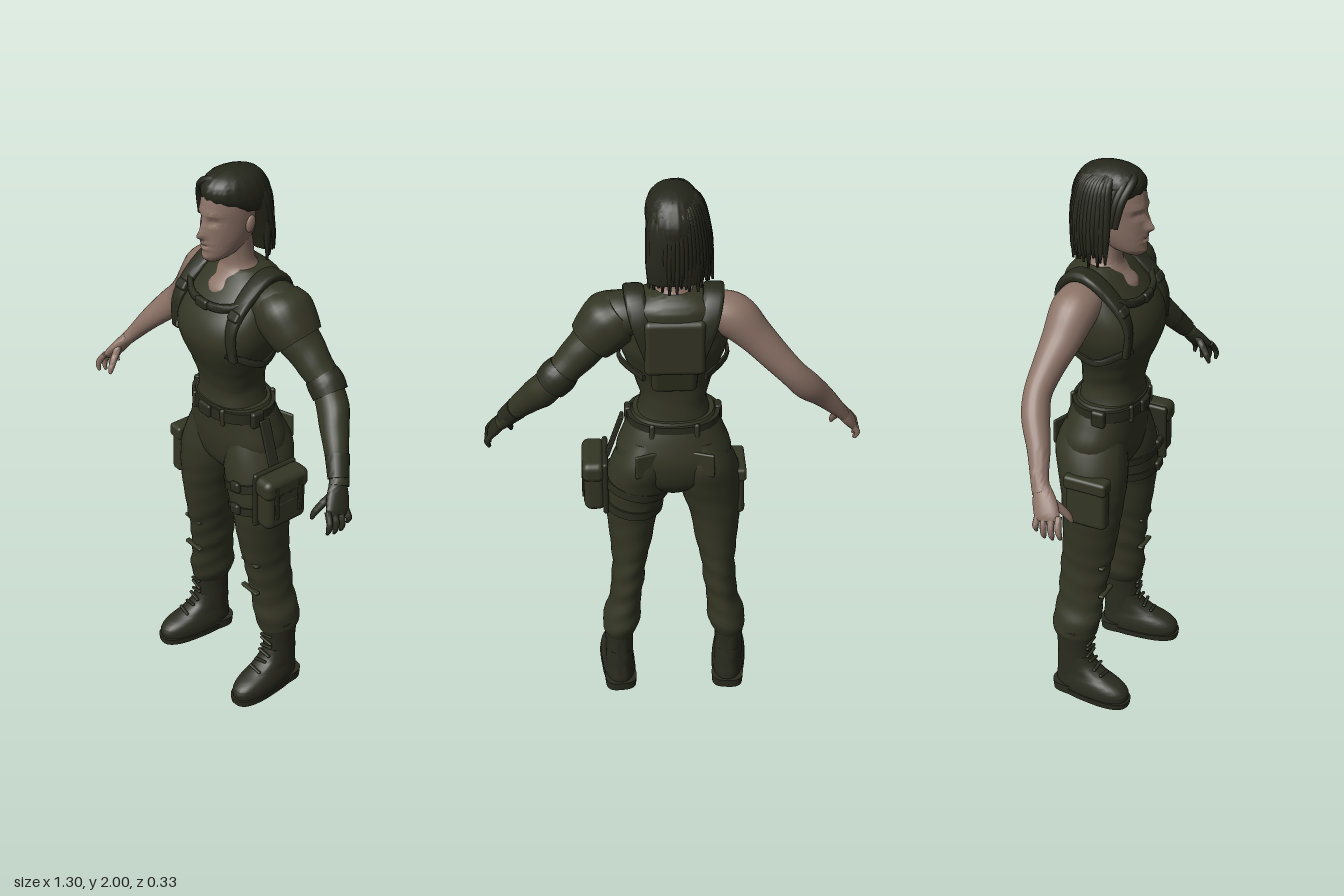
import * as THREE from 'three';
import { toCreasedNormals } from 'three/addons/utils/BufferGeometryUtils.js';
import { RoundedBoxGeometry } from 'three/addons/geometries/RoundedBoxGeometry.js';

const mat = (name, color) => Object.assign(new THREE.MeshStandardMaterial({ color }), { name });
const X = new THREE.Vector3(1, 0, 0), Y = new THREE.Vector3(0, 1, 0), Z = new THREE.Vector3(0, 0, 1);
const spline = (a, b, c, d, t) => b + 0.5 * t * (c - a + t * (2 * a - 5 * b + 4 * c - d + t * (3 * (b - c) + d - a)));

// Smooth body through elliptical sections [x, y, z, halfWidth, halfDepth].
// Level sections lie flat (listed bottom to top); otherwise they follow the path.
function loft(rows, { n = 24, steps = 5, p = 2, level = false, ref = Z, fold, warp, crease = 0.9 } = {}) {
  const s = [], last = rows.length - 1;
  for (let i = 0; i < last; i++) for (let k = 0; k < steps; k++) {
    const q = [Math.max(i - 1, 0), i, i + 1, Math.min(i + 2, last)].map(j => rows[j]);
    s.push(rows[0].map((_, c) => spline(q[0][c], q[1][c], q[2][c], q[3][c], k / steps)));
  }
  s.push(rows[last]);
  const c = s.map(r => new THREE.Vector3(r[0], r[1], r[2])), pos = [], idx = [];
  const pw = v => Math.sign(v) * Math.abs(v) ** (2 / p);
  s.forEach((r, i) => {
    const t = level ? Y : c[Math.min(i + 1, c.length - 1)].clone().sub(c[Math.max(i - 1, 0)]).normalize();
    const v = ref.clone().addScaledVector(t, -ref.dot(t)).normalize(), u = t.clone().cross(v);
    for (let j = 0; j < n; j++) {
      const a = j / n * Math.PI * 2, f = fold ? fold(a, r[1]) : 1;
      const w = c[i].clone().addScaledVector(u, pw(Math.cos(a)) * Math.max(r[3], 0.001) * f)
        .addScaledVector(v, pw(Math.sin(a)) * Math.max(r[4], 0.001) * f);
      if (warp) warp(w);
      pos.push(w.x, w.y, w.z);
      if (i < s.length - 1) {
        const A = i * n + j, B = i * n + (j + 1) % n;
        idx.push(A, A + n, B, B, A + n, B + n);
      }
    }
  });
  const m = s.length * n, e = m - n;
  pos.push(...c[0].toArray(), ...c[c.length - 1].toArray());
  for (let j = 0; j < n; j++) {
    const k = (j + 1) % n;
    idx.push(m, j, k, m + 1, e + k, e + j);
  }
  const g = new THREE.BufferGeometry();
  g.setAttribute('position', new THREE.Float32BufferAttribute(pos, 3));
  g.setIndex(idx);
  return toCreasedNormals(g, crease);
}

export function createModel() {
  const root = new THREE.Group();
  const cloth = mat('olive cloth', 0x333524), gear = mat('dark webbing', 0x292b1e),
    leather = mat('boot leather', 0x2a2b1f), hairMat = mat('dark hair', 0x25261b), skin = mat('skin', 0x8b7266);
  const add = (name, geo, m, parent = root) => {
    const o = new THREE.Mesh(geo, m);
    o.name = name;
    parent.add(o);
    return o;
  };
  const box = (name, m, x, y, z, w, h, d, r = 0.01) => {
    const o = add(name, new RoundedBoxGeometry(w, h, d, 3, Math.min(r, w / 2.1, h / 2.1, d / 2.1)), m);
    o.position.set(x, y, z);
    return o;
  };
  const band = (name, m, x, y, z, a, b, h, p = 2) => {
    const o = add(name, loft([[0, -h / 2, 0, a, b], [0, h / 2, 0, a, b]], { level: true, steps: 1, n: 32, p }), m);
    o.position.set(x, y, z);
    return o;
  };
  const level = (name, m, rows, opt = {}) => add(name, loft(rows.map(r => [0, ...r]), { level: true, n: 32, ...opt }), m);

  // Torso, pelvis and neck
  level('tankTop', cloth, [[1.13, 0, 0.138, 0.11], [1.22, 0, 0.112, 0.1], [1.30, 0.01, 0.13, 0.108],
    [1.38, 0.015, 0.162, 0.135], [1.44, 0.01, 0.18, 0.152], [1.50, 0, 0.182, 0.146], [1.56, -0.025, 0.172, 0.128],
    [1.62, -0.048, 0.145, 0.1], [1.655, -0.05, 0.085, 0.065]],
  { p: 2.4, fold: (a, y) => 1 + 0.008 * Math.sin(y * 90 + 2 * Math.sin(a * 2)) * (y < 1.36) });
  level('trouserSeat', cloth, [[0.87, -0.03, 0.06, 0.06], [0.93, -0.03, 0.16, 0.11], [1.02, -0.03, 0.197, 0.128],
    [1.10, -0.02, 0.172, 0.122], [1.175, -0.003, 0.138, 0.112]], { p: 2.2 });
  level('neck', skin, [[1.575, 0.005, 0.06, 0.082], [1.60, -0.008, 0.085, 0.084], [1.635, -0.03, 0.08, 0.072],
    [1.675, -0.027, 0.052, 0.055], [1.77, -0.015, 0.05, 0.055]]);

  // Head, with nose, brow, eye sockets and mouth pushed in or out of the face
  const bump = (p, x, y, sx, sy) => Math.exp(-(((p.x - x) / sx) ** 2) - ((p.y - y) / sy) ** 2);
  level('head', skin, [[1.70, 0.07, 0.022, 0.03], [1.722, 0.048, 0.046, 0.064], [1.77, 0.02, 0.064, 0.095],
    [1.83, 0, 0.074, 0.115], [1.89, -0.005, 0.078, 0.118], [1.94, -0.005, 0.072, 0.104], [1.975, -0.005, 0.05, 0.07]], {
    n: 64, steps: 9, crease: 1.5, warp: p => {
      if (p.z < 0.05) return;
      p.z += 0.024 * bump(p, 0, 1.797, 0.012, 0.016) + 0.013 * bump(p, 0, 1.825, 0.009, 0.026)
        + 0.007 * bump(p, 0, 1.767, 0.024, 0.006) + 0.007 * bump(p, 0, 1.75, 0.02, 0.006)
        - 0.006 * bump(p, 0, 1.759, 0.024, 0.003) + 0.007 * bump(p, 0, 1.715, 0.02, 0.014);
      for (const s of [-1, 1]) p.z += 0.005 * bump(p, s * 0.03, 1.872, 0.026, 0.009) - 0.01 * bump(p, s * 0.032, 1.847, 0.018, 0.012);
    } });
  for (const s of [-1, 1]) {
    const ear = add('ear', new THREE.SphereGeometry(1, 16, 12), skin);
    ear.scale.set(0.01, 0.03, 0.018);
    ear.position.set(s * 0.076, 1.825, -0.015);
    ear.rotation.x = -0.2;
  }

  // Hair: cap, rear mass and hanging locks swept to the right side
  level('hairCap', hairMat, [[1.87, -0.045, 0.085, 0.095], [1.91, -0.018, 0.089, 0.12], [1.95, -0.005, 0.083, 0.112],
    [1.98, -0.005, 0.062, 0.085], [1.998, -0.005, 0.025, 0.04]], { n: 72, fold: a => 1 + 0.012 * Math.sin(a * 18) });
  level('hairBack', hairMat, [[1.71, -0.1, 0.085, 0.035], [1.78, -0.09, 0.09, 0.05], [1.90, -0.06, 0.086, 0.075],
    [1.95, -0.04, 0.06, 0.07]], { n: 72, fold: a => 1 + 0.02 * Math.sin(a * 20) });
  for (let i = 0; i < 26; i++) {
    const f = -1.9 + i * 0.115, sx = Math.sin(f) * (f > 0 ? 0.86 : 1.04), cz = -Math.cos(f);
    const end = 1.695 + 0.018 * Math.sin(i * 2.7);
    add('hairLock', loft([[sx * 0.03, 1.985, 0.01 + cz * 0.035, 0.008, 0.01], [sx * 0.077, 1.95, -0.01 + cz * 0.088, 0.014, 0.014],
      [sx * 0.098, 1.88, -0.015 + cz * 0.11, 0.015, 0.015], [sx * 0.11, 1.79, -0.015 + cz * 0.117, 0.014, 0.014],
      [sx * (0.115 + 0.007 * Math.sin(i * 1.9)), end, -0.015 + cz * 0.117, 0.004, 0.004]], { n: 8, steps: 4 }), hairMat);
  }
  for (let i = 0; i < 6; i++) {
    add('fringeLock', loft([[0.035 - i * 0.008, 1.975, 0.05 - i * 0.016, 0.01, 0.012], [-0.035 - i * 0.004, 1.962, 0.082 - i * 0.022, 0.014, 0.015],
      [-0.082, 1.905, 0.065 - i * 0.018, 0.012, 0.014], [-0.098, 1.82, 0.05 - i * 0.015, 0.009, 0.01]], { n: 8 }), hairMat);
  }

  // Arms: bare on the right, sleeved and padded on the left
  const armRows = [[0.13, 1.575, -0.045, 0.06, 0.075], [0.195, 1.55, -0.05, 0.074, 0.078], [0.265, 1.48, -0.06, 0.06, 0.066],
    [0.33, 1.41, -0.075, 0.052, 0.053], [0.39, 1.345, -0.082, 0.047, 0.046], [0.44, 1.285, -0.065, 0.049, 0.046],
    [0.50, 1.215, -0.025, 0.038, 0.038], [0.555, 1.145, 0.005, 0.027, 0.03], [0.58, 1.11, 0.025, 0.022, 0.032]];
  for (const s of [-1, 1]) {
    const bare = s < 0, k = bare ? 1 : 1.13, flip = r => r.map(([x, ...q]) => [s * x, ...q]);
    const limb = armRows.map(([x, y, z, a, b]) => [x, y, z, a * k, b * k]);
    add(bare ? 'rightArm' : 'leftSleeve', loft(flip(limb), {
      fold: bare ? undefined : (a, y) => 1 + 0.018 * Math.sin(y * 85 + 2 * Math.sin(a)) }), bare ? skin : cloth);
    const m = bare ? skin : gear, hand = new THREE.Group();
    hand.name = bare ? 'rightHand' : 'leftGlove';
    root.add(hand);
    add('palm', loft(flip([[0.57, 1.125, 0.02, 0.021, 0.028], [0.592, 1.09, 0.04, 0.021, 0.04],
      [0.615, 1.055, 0.06, 0.018, 0.043], [0.625, 1.04, 0.065, 0.012, 0.038]])), m, hand);
    for (let i = 0; i < 4; i++) {
      const l = i === 0 ? 0.018 : i === 3 ? 0.008 : 0, z = 0.03 + 0.023 * i;
      add('finger', loft(flip([[0.612, 1.06, z, 0.011, 0.011], [0.634, 1.028, z + 0.003 * i, 0.011, 0.011],
        [0.637, 1.0 + l, z + 0.005 * i, 0.0095, 0.0095], [0.63, 0.981 + l, z + 0.005 * i, 0.005, 0.005]]), { n: 10 }), m, hand);
    }
    add('thumb', loft(flip([[0.585, 1.095, 0.055, 0.014, 0.014], [0.57, 1.06, 0.088, 0.013, 0.013],
      [0.56, 1.03, 0.11, 0.011, 0.011], [0.557, 1.01, 0.118, 0.005, 0.005]]), { n: 10 }), m, hand);
  }
  add('shoulderPad', loft([[0.165, 1.59, -0.05, 0.06, 0.08], [0.2, 1.555, -0.05, 0.092, 0.096],
    [0.245, 1.505, -0.055, 0.086, 0.09], [0.272, 1.475, -0.06, 0.076, 0.08]], { p: 2.3 }), cloth);
  add('elbowPad', loft([[0.36, 1.378, -0.08, 0.058, 0.058], [0.38, 1.356, -0.083, 0.064, 0.062],
    [0.405, 1.327, -0.082, 0.06, 0.06]]), gear);
  add('gloveCuff', loft([[0.525, 1.185, -0.012, 0.039, 0.041], [0.568, 1.128, 0.018, 0.032, 0.036]]), gear);

  // Harness: shoulder straps, chest strap, buckles and back plate
  for (const s of [-1, 1]) {
    add('shoulderStrap', loft([[s * 0.15, 1.40, 0.115, 0.01, 0.018], [s * 0.142, 1.50, 0.118, 0.01, 0.022], [s * 0.135, 1.58, 0.068, 0.014, 0.03],
      [s * 0.13, 1.645, -0.02, 0.016, 0.034], [s * 0.125, 1.64, -0.09, 0.016, 0.034], [s * 0.11, 1.57, -0.138, 0.012, 0.03],
      [s * 0.075, 1.45, -0.143, 0.01, 0.025]], { ref: X, p: 4, n: 20 }), gear);
    box('strapBuckle', gear, s * 0.137, 1.555, 0.1, 0.05, 0.035, 0.02).rotation.x = -0.6;
    add('sideStrap', loft([[s * 0.13, 1.42, 0.128, 0.006, 0.012], [s * 0.182, 1.37, 0.02, 0.006, 0.012],
      [s * 0.1, 1.36, -0.118, 0.006, 0.012]], { ref: Y, p: 4, n: 12 }), gear);
  }
  add('chestStrap', loft([[-0.14, 1.58, 0.065, 0.01, 0.014], [-0.075, 1.56, 0.107, 0.01, 0.014], [0, 1.553, 0.117, 0.01, 0.014],
    [0.075, 1.56, 0.107, 0.01, 0.014], [0.14, 1.58, 0.065, 0.01, 0.014]], { ref: Y, p: 4, n: 16 }), gear);
  box('chestBuckle', gear, 0, 1.555, 0.122, 0.06, 0.035, 0.022);
  box('backPlate', cloth, 0, 1.49, -0.137, 0.2, 0.2, 0.05, 0.02);
  box('lowerBackPlate', cloth, 0, 1.36, -0.104, 0.15, 0.13, 0.045, 0.02).rotation.x = -0.25;

  // Belt with buckle, loops and small pouches
  band('belt', gear, 0, 1.145, -0.007, 0.158, 0.122, 0.04, 2.2);
  box('beltBuckle', gear, 0, 1.145, 0.115, 0.06, 0.046, 0.016);
  for (const s of [-1, 1]) {
    box('beltLoop', cloth, s * 0.075, 1.14, 0.1, 0.018, 0.065, 0.016).rotation.y = s * 0.3;
    box('beltLoop', cloth, s * 0.075, 1.14, -0.117, 0.018, 0.065, 0.016);
    box('beltClip', gear, s * 0.153, 1.14, 0.015, 0.025, 0.06, 0.05);
    box('rearPocket', cloth, s * 0.09, 1.03, -0.148, 0.09, 0.09, 0.012).rotation.y = s * 0.32;
  }

  // Trouser legs and boots
  const legRows = [[0.197, 0.24, -0.06, 0.05, 0.07], [0.194, 0.265, -0.06, 0.063, 0.08], [0.188, 0.31, -0.056, 0.067, 0.088],
    [0.174, 0.39, -0.047, 0.056, 0.085], [0.165, 0.46, -0.041, 0.059, 0.088], [0.158, 0.54, -0.033, 0.06, 0.092],
    [0.15, 0.64, -0.022, 0.075, 0.098], [0.146, 0.74, -0.015, 0.088, 0.105], [0.132, 0.84, -0.015, 0.106, 0.114],
    [0.118, 0.92, -0.023, 0.114, 0.123], [0.105, 1.0, -0.035, 0.1, 0.125], [0.085, 1.09, -0.03, 0.075, 0.1]];
  for (const s of [-1, 1]) {
    add('trouserLeg', loft(legRows.map(([x, ...q]) => [s * x, ...q]), { level: true, n: 32, steps: 8, fold: (a, y) =>
      1 + (y < 0.6 ? 0.025 : 0.007) * Math.sin(y * 75 + 2.5 * Math.sin(a + s)) * Math.min(1, Math.max(0, (1 - y) * 5)) }), cloth);
    for (const y of [0.44, 0.56]) box('kneeSeam', cloth, s * 0.163, y, 0.046, 0.085, 0.012, 0.02, 0.005);
    const boot = new THREE.Group();
    boot.name = 'boot';
    root.add(boot);
    boot.position.set(s * 0.2, 0, -0.06);
    boot.rotation.y = s * 0.1;
    const part = (name, rows, p) => add(name, loft(rows.map(r => [0, ...r]), { level: true, n: 32, p }), leather, boot);
    part('bootShaft', [[0.05, 0, 0.05, 0.07], [0.12, 0, 0.05, 0.066], [0.2, 0, 0.05, 0.066], [0.285, 0, 0.057, 0.072]], 2);
    part('bootFoot', [[0.018, 0.074, 0.058, 0.142], [0.05, 0.074, 0.06, 0.144], [0.075, 0.062, 0.056, 0.13],
      [0.098, 0.036, 0.05, 0.102], [0.13, 0.01, 0.048, 0.076], [0.17, 0, 0.046, 0.064]], 2.4);
    part('bootSole', [[0, 0.076, 0.059, 0.146], [0.024, 0.076, 0.062, 0.149]], 2.6);
    part('bootHeel', [[0, -0.02, 0.056, 0.054], [0.035, -0.02, 0.058, 0.058]], 3);
    for (let i = 0; i < 6; i++) {
      const lace = add('bootLace', new RoundedBoxGeometry(0.055, 0.009, 0.012, 2, 0.004), gear, boot);
      lace.position.set(0, 0.108 + i * 0.025, [0.122, 0.095, 0.077, 0.067, 0.067, 0.068][i]);
      lace.rotation.z = i % 2 ? 0.2 : -0.2;
    }
  }

  // Cargo pocket on the right thigh
  box('cargoPocket', cloth, -0.219, 0.845, 0.005, 0.05, 0.18, 0.15, 0.018).rotation.z = -0.03;
  box('cargoFlap', cloth, -0.221, 0.92, 0.005, 0.058, 0.05, 0.158, 0.012);

  // Thigh rig and pouch on the left
  box('thighPlate', gear, 0.235, 0.885, 0.005, 0.02, 0.21, 0.18);
  box('thighPouch', cloth, 0.272, 0.875, 0.005, 0.074, 0.17, 0.17, 0.025);
  box('pouchFlap', cloth, 0.275, 0.95, 0.005, 0.08, 0.075, 0.185, 0.025);
  box('pouchPocket', cloth, 0.3, 0.85, 0.005, 0.022, 0.09, 0.12);
  for (const z of [-0.045, 0.055]) box('pouchStrap', gear, 0.312, 0.9, z, 0.008, 0.13, 0.018, 0.003);
  band('thighStrap', gear, 0.128, 0.885, -0.018, 0.119, 0.124, 0.03).rotation.z = 0.22;
  band('thighStrap', gear, 0.14, 0.8, -0.015, 0.106, 0.117, 0.03).rotation.z = 0.12;
  for (const y of [0.9, 0.81]) box('thighBuckle', gear, 0.15, y, 0.104, 0.045, 0.038, 0.02).rotation.z = 0.2;
  box('dropStrap', gear, 0.2, 1.06, 0.0, 0.012, 0.17, 0.04, 0.004).rotation.z = 0.32;
  return root;
}
